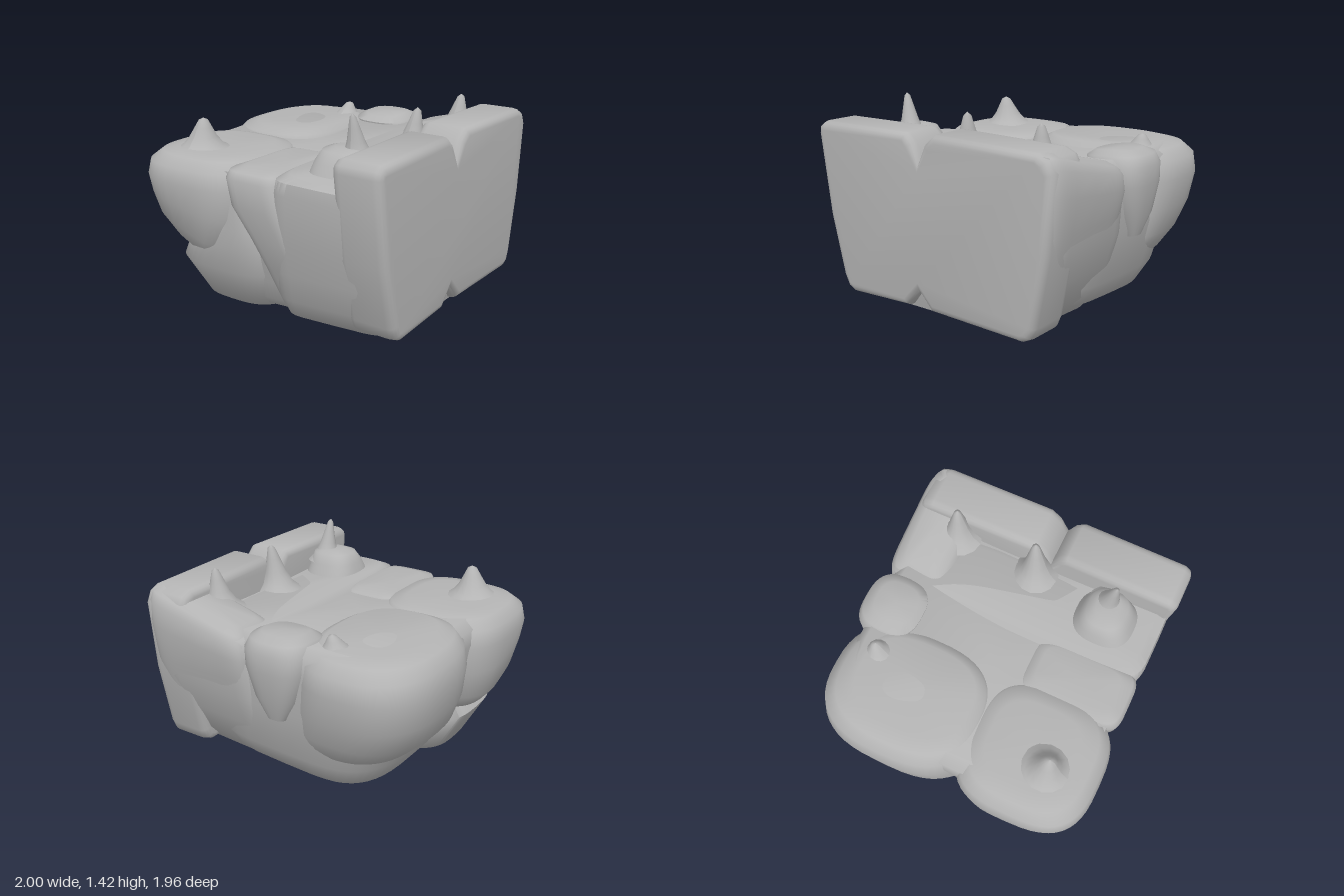
import * as THREE from 'three';
import { toCreasedNormals } from 'three/addons/utils/BufferGeometryUtils.js';

const stone = new THREE.MeshStandardMaterial({ color: 0xb4b4b4 });
stone.name = 'grey stone';

const SIDES = 48;
const CREASE = 1.0;

function addMesh(group, name, geometry) {
  const mesh = new THREE.Mesh(geometry, stone);
  mesh.name = name;
  group.add(mesh);
  return mesh;
}

// Rounded rock lofted through squarish rings; each level is [y, x0, x1, z0, z1].
function rock(group, name, power, levels, { dip = 0, tilt = null } = {}) {
  const pos = [], index = [];
  const put = (x, y, z) => pos.push(x, tilt ? y + tilt(x, y, z) : y, z);
  const round = (v) => Math.sign(v) * Math.pow(Math.abs(v), 2 / power);
  for (const [y, x0, x1, z0, z1] of levels) {
    for (let j = 0; j < SIDES; j++) {
      const a = (j / SIDES) * Math.PI * 2;
      put((x0 + x1) / 2 + ((x1 - x0) / 2) * round(Math.cos(a)), y,
        (z0 + z1) / 2 + ((z1 - z0) / 2) * round(Math.sin(a)));
    }
  }
  const last = levels.length - 1;
  for (let i = 0; i < last; i++) {
    for (let j = 0; j < SIDES; j++) {
      const k = (j + 1) % SIDES;
      const a = i * SIDES + j, b = i * SIDES + k, c = a + SIDES, d = b + SIDES;
      index.push(a, c, b, b, c, d);
    }
  }
  // caps
  const middle = ([y, x0, x1, z0, z1], dy) => put((x0 + x1) / 2, y + dy, (z0 + z1) / 2);
  const low = levels.length * SIDES;
  middle(levels[0], 0);
  middle(levels[last], -dip);
  for (let j = 0; j < SIDES; j++) {
    const k = (j + 1) % SIDES;
    index.push(low, j, k, low + 1, last * SIDES + k, last * SIDES + j);
  }
  const geometry = new THREE.BufferGeometry();
  geometry.setAttribute('position', new THREE.Float32BufferAttribute(pos, 3));
  geometry.setIndex(index);
  return addMesh(group, name, toCreasedNormals(geometry, CREASE));
}

// Horn of rock with a flared foot, leaning towards its tip.
function spike(group, name, x, z, base, top, radius, leanX = 0, leanZ = 0) {
  const h = top - base;
  const profile = [[1, 0], [0.66, 0.16], [0.44, 0.42], [0.28, 0.7], [0.15, 0.93], [0, 1]]
    .map(([r, t]) => new THREE.Vector2(r * radius, t * h));
  const geometry = new THREE.LatheGeometry(profile, 14);
  const p = geometry.attributes.position;
  for (let i = 0; i < p.count; i++) {
    const t = p.getY(i) / h;
    p.setX(i, p.getX(i) + leanX * t);
    p.setZ(i, p.getZ(i) + leanZ * t);
  }
  geometry.computeVertexNormals();
  addMesh(group, name, geometry).position.set(x, base, z);
}

export function createModel() {
  const model = new THREE.Group();
  model.name = 'rockBlock';

  // tall wall on the +x side, notched at top and bottom; profile points are [z, y]
  const outline = [
    [0.70, 0.10], [0.76, 0.13], [0.80, 0.21], [0.90, 0.62], [0.975, 1.17], [0.965, 1.22], [0.92, 1.25],
    [0.18, 1.255], [0.12, 1.20], [0.075, 1.09], [0.03, 1.20], [-0.05, 1.265], [-0.82, 1.25],
    [-0.89, 1.22], [-0.93, 1.14], [-0.89, 0.66], [-0.80, 0.2], [-0.77, 0.13], [-0.71, 0.10],
    [0.0, 0.12], [0.10, 0.23], [0.20, 0.12],
  ];
  const wallShape = new THREE.Shape(outline.map(([z, y]) => new THREE.Vector2(-z, y)));
  const wall = new THREE.ExtrudeGeometry(wallShape, {
    depth: 0.22, bevelThickness: 0.06, bevelSize: 0.05, bevelOffset: -0.05, bevelSegments: 4,
  });
  wall.rotateY(Math.PI / 2).translate(0.72, 0, 0);
  addMesh(model, 'sideWall', toCreasedNormals(wall, CREASE));

  // central mass under the hollow top
  rock(model, 'centralMass', 4, [
    [0.01, -0.48, 0.4, -0.3, 0.55], [0.04, -0.55, 0.6, -0.55, 0.66], [0.1, -0.6, 0.66, -0.72, 0.7],
    [0.25, -0.7, 0.72, -0.8, 0.76], [0.6, -0.83, 0.75, -0.87, 0.84], [0.9, -0.88, 0.7, -0.89, 0.88],
    [1.0, -0.87, 0.7, -0.88, 0.88], [1.05, -0.8, 0.62, -0.82, 0.82],
  ], {
    dip: 0.03,
    tilt: (x, y, z) => (y > 0.95 ? -0.03 * z : 0) + Math.max(0, x + 0.4) * 0.07 * Math.max(0, 1 - y * 2),
  });

  // main block joining the wall, undercut at the back
  rock(model, 'rightBlock', 7, [
    [0.03, 0.12, 0.82, -0.45, 0.6], [0.06, 0.07, 0.92, -0.62, 0.72], [0.2, 0.05, 0.95, -0.74, 0.8],
    [0.4, 0.06, 0.96, -0.83, 0.855], [0.62, 0.08, 0.96, -0.9, 0.9], [0.95, 0.12, 0.96, -0.945, 0.945],
    [1.03, 0.14, 0.95, -0.93, 0.935], [1.06, 0.2, 0.9, -0.88, 0.87],
  ], {
    dip: 0.03,
    tilt: (x, y) => 0.06 * Math.max(0, x - 0.2) * Math.max(0, 1 - y),
  });

  // ramp climbing along the back edge up to the wall top
  rock(model, 'backRamp', 6, [
    [0.55, 0.2, 0.95, -0.87, -0.5], [0.75, 0.18, 0.97, -0.925, -0.5], [0.9, 0.17, 0.98, -0.955, -0.5],
    [1.0, 0.19, 0.98, -0.95, -0.52], [1.04, 0.22, 0.97, -0.92, -0.56], [1.07, 0.28, 0.92, -0.86, -0.61],
  ], { tilt: (x, y) => 0.25 * Math.max(0, x - 0.2) * Math.min(1, Math.max(0, y - 0.75) / 0.29) });

  // boulders on the -x side
  rock(model, 'frontLeftBoulder', 3, [
    [0.32, -0.74, -0.4, 0.28, 0.72], [0.37, -0.84, -0.3, 0.18, 0.84], [0.48, -0.94, -0.18, 0.11, 0.91],
    [0.68, -0.98, -0.09, 0.06, 0.96], [0.87, -1, -0.08, 0.04, 0.98], [0.98, -0.98, -0.1, 0.06, 0.96],
    [1.04, -0.91, -0.15, 0.12, 0.89], [1.06, -0.79, -0.25, 0.2, 0.78],
  ], { dip: 0.015, tilt: (x, y, z) => 0.8 * Math.max(0, z - x - 1.3) * Math.max(0, 0.9 - y) });
  rock(model, 'backLeftBoulder', 2.6, [
    [0.1, -0.4, 0.1, -0.35, 0.15], [0.17, -0.55, 0.1, -0.58, 0.18], [0.34, -0.77, 0.06, -0.8, 0.2],
    [0.47, -0.9, 0.02, -0.87, 0.18], [0.65, -0.97, -0.03, -0.93, 0.17], [0.85, -1, -0.08, -0.96, 0.15],
    [0.98, -0.975, -0.1, -0.945, 0.14], [1.05, -0.91, -0.14, -0.87, 0.1], [1.08, -0.8, -0.2, -0.76, 0.03],
  ], { dip: 0.04 });
  rock(model, 'lowerFrontRock', 3, [
    [0.0, -0.56, -0.2, 0.15, 0.58], [0.04, -0.67, 0, 0.05, 0.72], [0.3, -0.81, 0.1, 0, 0.85],
    [0.48, -0.7, 0.1, 0, 0.88], [0.62, -0.45, 0.04, 0, 0.89], [0.85, -0.36, -0.05, 0.1, 0.88],
    [1.0, -0.35, -0.07, 0.2, 0.87],
  ]);

  // wedge between the boulders at the front
  rock(model, 'frontWedge', 5, [
    [0.1, 0.06, 0.4, 0.3, 0.7], [0.4, 0.02, 0.38, 0.3, 0.84], [0.6, -0.06, 0.34, 0.25, 0.9],
    [0.8, -0.19, 0.28, 0.2, 0.935], [0.98, -0.22, 0.24, 0.2, 0.945], [1.03, -0.2, 0.22, 0.24, 0.92],
    [1.05, -0.13, 0.17, 0.3, 0.84],
  ], { dip: 0.02 });

  // loose boulder set in the back, narrowing towards the middle
  rock(model, 'backBoulder', 2.8, [
    [0.55, -0.1, 0.04, -0.9, -0.76], [0.7, -0.19, 0.12, -0.95, -0.68], [0.9, -0.26, 0.19, -0.98, -0.6],
    [1.02, -0.27, 0.2, -0.98, -0.56], [1.09, -0.24, 0.17, -0.95, -0.55], [1.12, -0.17, 0.11, -0.88, -0.6],
  ], { tilt: (x, y, z) => -0.12 * Math.max(0, z + 0.75) });

  // mound beside the wall
  rock(model, 'spikeMound', 2.6, [
    [1.0, 0.27, 0.7, 0.34, 0.8], [1.12, 0.31, 0.66, 0.39, 0.74], [1.19, 0.35, 0.64, 0.43, 0.69],
    [1.21, 0.42, 0.6, 0.48, 0.63],
  ]);

  // horns rising from the top
  spike(model, 'tallSpike', 0.56, 0.53, 1.12, 1.42, 0.13, -0.015, 0.05);
  spike(model, 'middleSpike', 0.6, 0.0, 1.03, 1.36, 0.17, 0.04, -0.03);
  spike(model, 'backSpike', 0.62, -0.59, 1.08, 1.35, 0.16, 0.03, -0.02);
  spike(model, 'leftSpike', -0.63, 0.63, 1.03, 1.25, 0.21, 0.02, 0.01);
  spike(model, 'smallSpike', -0.38, -0.69, 1.02, 1.15, 0.17, 0.02, -0.03);

  return model;
}
